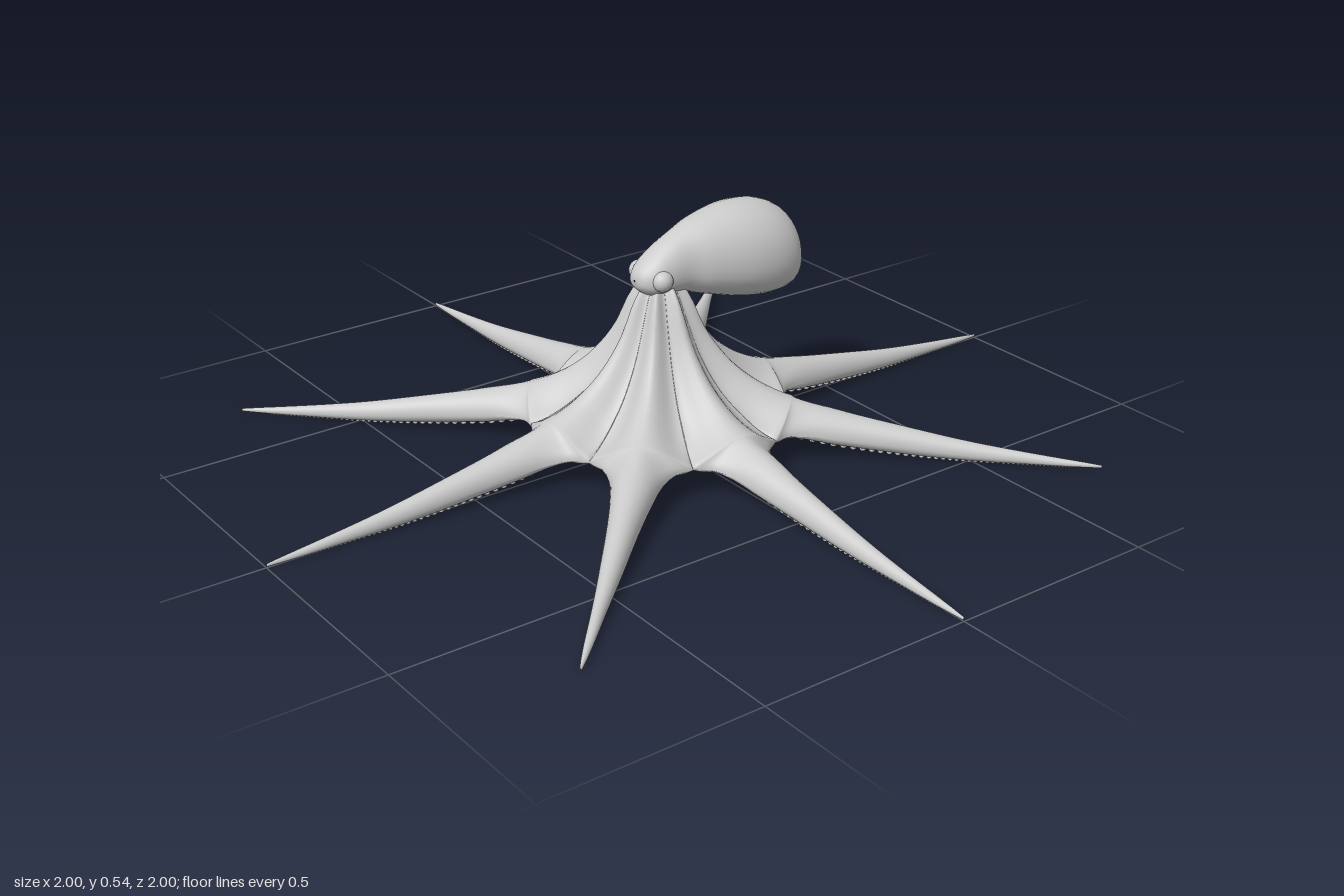
import * as THREE from 'three';
import { mergeGeometries, mergeVertices } from 'three/addons/utils/BufferGeometryUtils.js';

const ARMS = 8;
const SECTOR = Math.PI / ARMS;
const WEB = 0.3; // radius where the web ends and the arms separate

// Smooth lookup through rows of [position, ...values]
function table(rows) {
  const size = rows[0].length - 1;
  const curve = new THREE.CubicInterpolant(
    rows.map((r) => r[0]), rows.flatMap((r) => r.slice(1)), size, new Float32Array(size));
  return (t) => Array.from(curve.evaluate(t));
}

// Skin a list of equally long cross-sections
function loft(sections) {
  const n = sections[0].length;
  const index = [];
  for (let i = 0; i < sections.length - 1; i++) {
    for (let j = 0; j < n - 1; j++) {
      const a = i * n + j, b = a + n;
      index.push(a, a + 1, b, a + 1, b + 1, b);
    }
  }
  const geo = new THREE.BufferGeometry();
  geo.setAttribute('position', new THREE.Float32BufferAttribute(sections.flat(2), 3));
  geo.setIndex(index);
  return geo;
}

// radius: ridge top, valley top, valley underside, ridge underside
const heights = table([
  [0, 0.42, 0.42, 0.21, 0.17], [0.04, 0.4, 0.385, 0.205, 0.165],
  [0.07, 0.36, 0.315, 0.195, 0.15], [0.1, 0.292, 0.245, 0.178, 0.13],
  [0.15, 0.222, 0.17, 0.145, 0.098], [0.2, 0.178, 0.125, 0.108, 0.072],
  [0.25, 0.148, 0.092, 0.082, 0.055], [0.3, 0.127, 0.07, 0.07, 0.044],
  [0.4, 0.102, 0.053, 0.053, 0.026], [0.55, 0.073, 0.036, 0.036, 0.01],
  [0.7, 0.046, 0.021, 0.021, 0.002], [0.85, 0.026, 0.012, 0.012, 0.001],
  [1, 0.009, 0.005, 0.005, 0.002],
]);
const armWidth = table([
  [0.3, 0.118], [0.304, 0.096], [0.315, 0.079], [0.345, 0.06], [0.4, 0.048],
  [0.5, 0.036], [0.65, 0.025], [0.8, 0.015], [0.95, 0.007], [1, 0.002],
]);
const halfWidth = (r) => (r <= WEB ? r * SECTOR : armWidth(r)[0]);

// Height of the upper or lower skin at radius r, q = -1..1 across one sector
function skinHeight(r, q, upper) {
  const [ridge, valley, hollow, under] = heights(r);
  const k = THREE.MathUtils.smoothstep(r, 0.2, 0.4);
  const fold = Math.pow(0.5 + 0.5 * Math.cos(Math.PI * q), 1.2);
  const round = Math.sqrt(Math.max(0, 1 - q * q));
  const f = THREE.MathUtils.lerp(fold, round, k);
  return upper ? valley + (ridge - valley) * f : hollow + (under - hollow) * f;
}

// One arm with its share of the web
function armSector() {
  const radii = [];
  for (let i = 0; i < 24; i++) radii.push(WEB * i / 24);
  radii.push(0.3, 0.302, 0.304, 0.309, 0.315, 0.325, 0.345, 0.37);
  for (let r = 0.4; r < 1.001; r += 0.04) radii.push(Math.min(r, 1));
  const N = 18;
  return loft(radii.map((r) => {
    const ring = [];
    const add = (i, upper) => {
      const q = Math.sin((i / N - 0.5) * Math.PI);
      const angle = r > 0 ? q * halfWidth(r) / r : 0;
      ring.push([r * Math.cos(angle), skinHeight(r, q, upper), r * Math.sin(angle)]);
    };
    for (let i = 0; i <= N; i++) add(i, true);
    // keep the inner seam open where the two skins are apart
    for (let i = N; i >= 0; i--) add(i, false);
    return ring;
  }));
}

// Two rows of shrinking suckers under one arm
function suckerRows() {
  const parts = [];
  let row = 0;
  for (let r = 0.12; r < 0.93; row++) {
    const size = 0.011 * (1 - r) + 0.0018;
    for (const side of [-1, 1]) {
      const rr = r + (side > 0 ? size : 0);
      const w = halfWidth(rr);
      const offset = Math.min(0.018, 0.45 * w);
      const y = Math.max(skinHeight(rr, offset / w, false), size * 0.8);
      parts.push(new THREE.SphereGeometry(size, 8, 6).scale(1, 0.8, 1).translate(rr, y, side * offset));
    }
    r += size * 2.7;
  }
  return mergeGeometries(parts);
}

const around = (geo) => mergeGeometries(
  Array.from({ length: ARMS }, (_, i) => geo.clone().rotateY(i * 2 * SECTOR)));

// Head and mantle: one egg-shaped skin along x
function mantle() {
  // x, top, bottom, half width
  const rows = [
    [-0.07, 0.412, 0.408, 0.002], [-0.064, 0.43, 0.39, 0.025], [-0.04, 0.455, 0.372, 0.046],
    [0, 0.483, 0.366, 0.054], [0.05, 0.508, 0.36, 0.062], [0.1, 0.525, 0.345, 0.083],
    [0.2, 0.54, 0.318, 0.111], [0.28, 0.53, 0.31, 0.112], [0.33, 0.503, 0.32, 0.094],
    [0.357, 0.465, 0.35, 0.06], [0.367, 0.412, 0.408, 0.002],
  ];
  const SIDES = 32, STEPS = 60;
  const lines = [];
  for (let j = 0; j <= SIDES; j++) {
    const a = (j % SIDES) / SIDES * Math.PI * 2;
    const s = Math.sin(a), c = Math.cos(a);
    const curve = new THREE.CatmullRomCurve3(rows.map(([x, top, bottom, w]) => {
      const mid = top * 0.42 + bottom * 0.58;
      const y = s > 0 ? mid - (mid - bottom) * Math.pow(s, 0.85) : mid - (top - mid) * s;
      return new THREE.Vector3(x, y, c * w);
    }), false, 'centripetal');
    lines.push(curve);
  }
  const sections = [];
  for (let i = 0; i <= STEPS; i++) sections.push(lines.map((l) => l.getPoint(i / STEPS).toArray()));
  return loft(sections);
}

function smooth(geo) {
  const welded = mergeVertices(geo, 1e-5);
  welded.computeVertexNormals();
  return welded;
}

export function createModel() {
  const group = new THREE.Group();
  const material = new THREE.MeshStandardMaterial({ color: 0xcccccc });
  const add = (name, geo, mat = material) => {
    const mesh = new THREE.Mesh(geo, mat);
    mesh.name = name;
    group.add(mesh);
    return mesh;
  };

  add('armsAndWeb', smooth(around(armSector())));
  add('suckers', around(suckerRows()));
  add('mantle', smooth(mantle()));

  // Eyes on both sides of the head
  for (const side of [-1, 1]) {
    const eye = add(side > 0 ? 'frontEye' : 'backEye', new THREE.SphereGeometry(0.024, 20, 14));
    eye.position.set(-0.025, 0.412, side * 0.044);
  }

  // Siphon tucked under the mantle
  const path = new THREE.CatmullRomCurve3([
    new THREE.Vector3(0.01, 0.385, 0), new THREE.Vector3(0.04, 0.368, 0), new THREE.Vector3(0.062, 0.342, 0),
  ]);
  add('siphon', new THREE.TubeGeometry(path, 10, 0.014, 12),
    new THREE.MeshStandardMaterial({ color: 0xcccccc, side: THREE.DoubleSide }));

  // Beak in the middle of the underside
  const beak = add('beak', new THREE.SphereGeometry(0.022, 16, 12));
  beak.position.set(0, 0.172, 0);
  return group;
}
